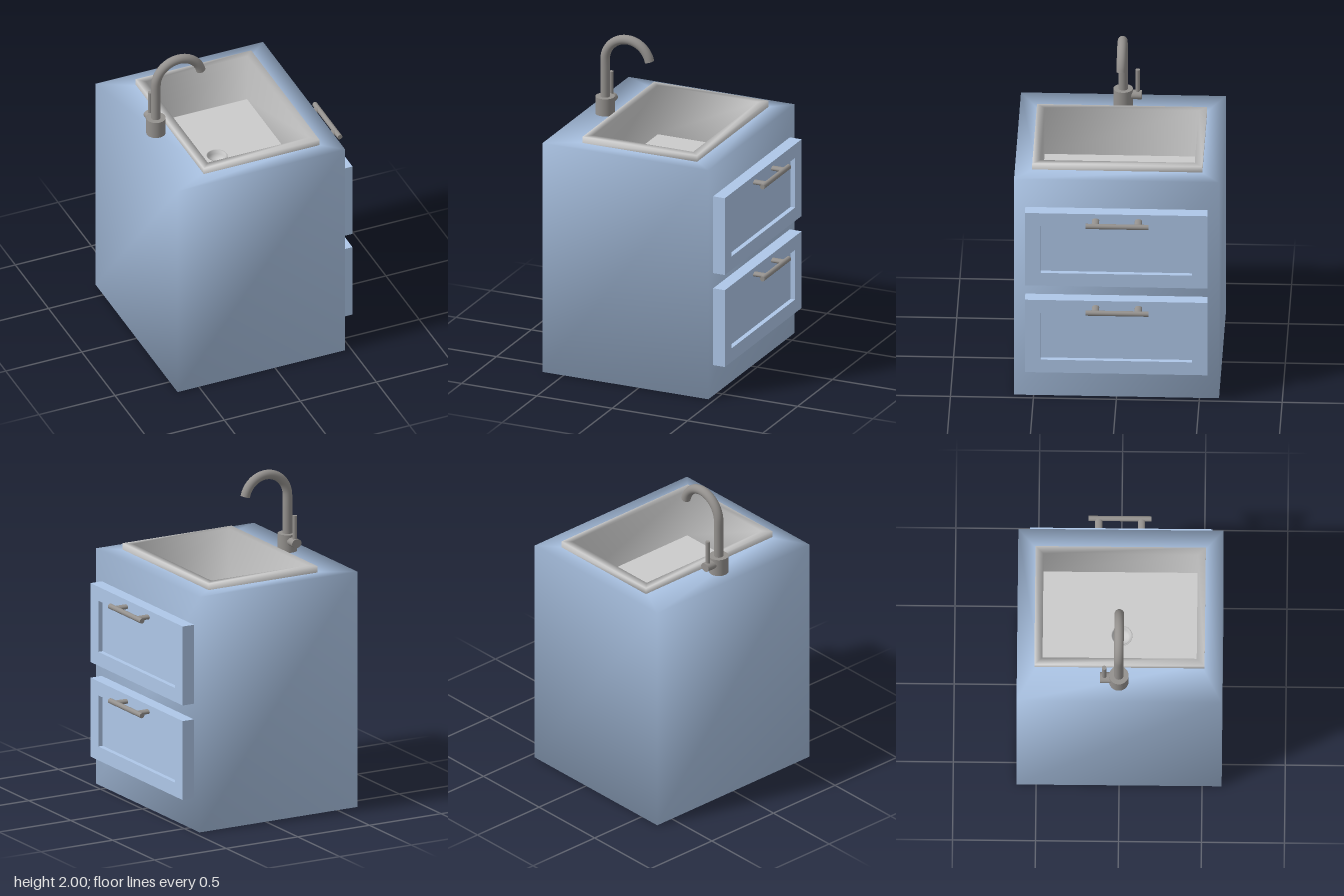
import * as THREE from 'three';

const blue = new THREE.MeshStandardMaterial({ color: 0xaec7e8 });
const grey = new THREE.MeshStandardMaterial({ color: 0xcccccc, side: THREE.DoubleSide });
const metal = new THREE.MeshStandardMaterial({ color: 0x94918e });

function add(parent, name, geometry, material, x = 0, y = 0, z = 0) {
  const mesh = new THREE.Mesh(geometry, material);
  mesh.name = name;
  mesh.position.set(x, y, z);
  parent.add(mesh);
  return mesh;
}

// Smooth skin through rectangular loops [x0, x1, halfDepth, y], optionally closed below
function rectLoft(loops, closed) {
  const positions = [], index = [];
  for (const [x0, x1, d, y] of loops) {
    positions.push(x0, y, d, x1, y, d, x1, y, -d, x0, y, -d);
  }
  for (let r = 0; r < loops.length - 1; r++) {
    for (let i = 0; i < 4; i++) {
      const a = r * 4 + i, b = r * 4 + (i + 1) % 4;
      index.push(a, b, b + 4, a, b + 4, a + 4);
    }
  }
  if (closed) index.push(0, 2, 1, 0, 3, 2);
  const geometry = new THREE.BufferGeometry();
  geometry.setAttribute('position', new THREE.Float32BufferAttribute(positions, 3));
  geometry.setIndex(index);
  geometry.computeVertexNormals();
  return geometry;
}

// Rectangle as a shape or as a hole
function rect(x0, x1, y0, y1, Type = THREE.Shape) {
  return new Type().moveTo(x0, y0).lineTo(x1, y0).lineTo(x1, y1).lineTo(x0, y1).closePath();
}

// Drawer front with recessed panel and bar handle
function createDrawer(name, bottom) {
  const drawer = new THREE.Group();
  drawer.name = name;
  drawer.position.set(0.46, bottom, 0);

  const outline = rect(-0.55, 0.55, 0, 0.495);
  outline.holes.push(rect(-0.457, 0.457, 0.087, 0.407, THREE.Path));
  const frame = new THREE.ExtrudeGeometry(outline, { depth: 0.08, bevelEnabled: false });
  add(drawer, 'drawerFrame', frame.rotateY(Math.PI / 2), blue);
  add(drawer, 'drawerPanel', new THREE.BoxGeometry(0.05, 0.32, 0.914), blue, 0.025, 0.247, 0);

  const bar = new THREE.CylinderGeometry(0.016, 0.016, 0.38, 24).rotateX(Math.PI / 2);
  add(drawer, 'handleBar', bar, metal, 0.158, 0.453, -0.008);
  for (const z of [-0.135, 0.123]) {
    const post = new THREE.CylinderGeometry(0.022, 0.022, 0.08, 24).rotateZ(Math.PI / 2).scale(1, 0.65, 1);
    add(drawer, 'handlePost', post, metal, 0.115, 0.453, z);
  }
  return drawer;
}

function createSink() {
  const sink = new THREE.Group();
  sink.name = 'sink';
  // Raised rim and basin walls
  add(sink, 'basin', rectLoft([
    [-0.422, 0.338, 0.513, 1.475],
    [-0.422, 0.338, 0.513, 1.515],
    [-0.375, 0.29, 0.465, 1.515],
    [-0.375, 0.29, 0.465, 1.2],
  ]), grey);
  // Floor with drain opening
  const floor = rect(-0.375, 0.29, -0.465, 0.465);
  floor.holes.push(new THREE.Path().absarc(-0.118, -0.01, 0.057, 0, Math.PI * 2));
  add(sink, 'basinFloor', new THREE.ShapeGeometry(floor, 32).rotateX(-Math.PI / 2), grey, 0, 1.2, 0);
  const profile = [[0.066, 0], [0.064, 0.005], [0.056, 0.005], [0.053, -0.02], [0.042, -0.04], [0.022, -0.052], [0, -0.055]];
  const cup = new THREE.LatheGeometry(profile.map(([r, y]) => new THREE.Vector2(r, y)), 40);
  add(sink, 'drain', cup, grey, -0.118, 1.2, 0.01);
  return sink;
}

function createFaucet() {
  const faucet = new THREE.Group();
  faucet.name = 'faucet';
  faucet.position.set(-0.511, 1.475, -0.003);
  add(faucet, 'faucetBase', new THREE.CylinderGeometry(0.059, 0.059, 0.11, 40), metal, 0, 0.055, 0);

  // Straight riser running into a swan-neck arc
  const radius = 0.149, centreY = 0.347, endAngle = 0.21;
  const points = [0.1, 0.16, 0.22, 0.28].map(y => new THREE.Vector3(0, y, 0));
  for (let i = 0; i <= 16; i++) {
    const a = Math.PI + (endAngle - Math.PI) * i / 16;
    points.push(new THREE.Vector3(radius + radius * Math.cos(a), centreY + radius * Math.sin(a), 0));
  }
  add(faucet, 'spout', new THREE.TubeGeometry(new THREE.CatmullRomCurve3(points), 72, 0.029, 24), metal);
  const cap = new THREE.CircleGeometry(0.029, 24).rotateX(Math.PI / 2).rotateZ(endAngle);
  const tip = points[points.length - 1];
  add(faucet, 'spoutTip', cap, metal, tip.x, tip.y, tip.z);

  // Side lever
  const hub = new THREE.CylinderGeometry(0.033, 0.033, 0.085, 32).rotateX(Math.PI / 2).scale(1, 0.82, 1);
  add(faucet, 'leverHub', hub, metal, 0, 0.069, -0.07);
  add(faucet, 'lever', new THREE.CylinderGeometry(0.014, 0.014, 0.155, 20), metal, 0, 0.163, -0.088);
  return faucet;
}

export function createModel() {
  const model = new THREE.Group();
  model.name = 'sinkCabinet';
  // Cabinet body, open under the sink
  add(model, 'cabinet', rectLoft([
    [-0.64, 0.462, 0.618, 0],
    [-0.64, 0.462, 0.618, 1.475],
    [-0.4, 0.315, 0.49, 1.475],
  ], true), blue);
  model.add(createDrawer('lowerDrawer', 0.197), createDrawer('upperDrawer', 0.79));
  model.add(createSink(), createFaucet());
  return model;
}
